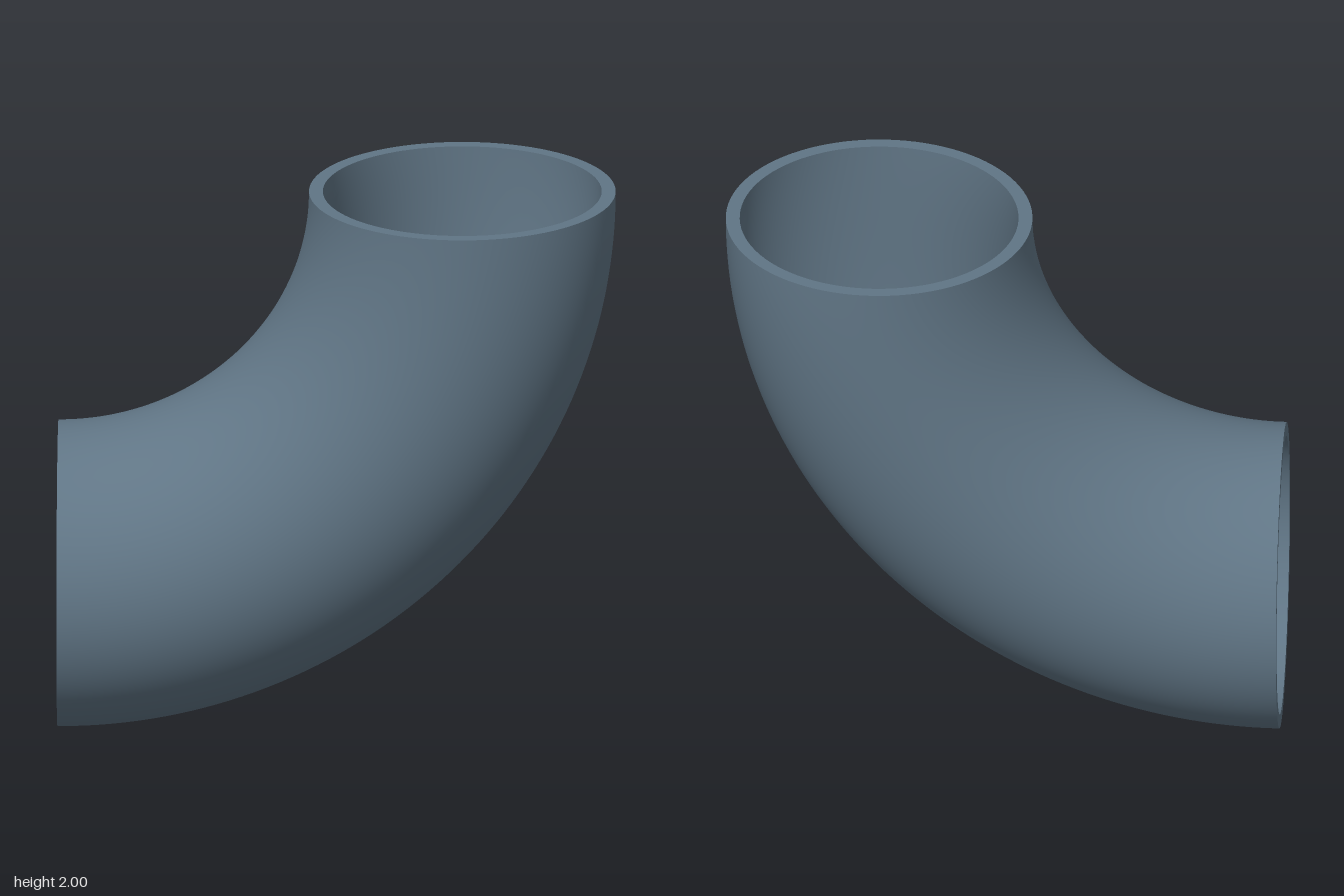
import * as THREE from 'three';

const BEND = 1.45;   // radius of the pipe's centre line
const OUTER = 0.55;  // outside radius of the pipe
const INNER = 0.5;   // bore radius
const SIDES = 96;
const STEPS = 64;

// Quarter torus about (-1, 2), from the lower left opening to the top opening
function quarterBend(radius) {
  return new THREE.TorusGeometry(BEND, radius, SIDES, STEPS, Math.PI / 2)
    .rotateZ(-Math.PI / 2)
    .translate(-1, 2, 0);
}

// Turn a surface inside out so that it shows from within
function turnInward(geometry) {
  geometry.index.array.reverse();
  const normal = geometry.attributes.normal;
  for (let i = 0; i < normal.array.length; i++) normal.array[i] *= -1;
  return geometry;
}

export function createModel() {
  const group = new THREE.Group();
  group.name = 'pipeElbow';
  const material = new THREE.MeshStandardMaterial({ color: 0x607585 });

  const add = (name, geometry) => {
    const mesh = new THREE.Mesh(geometry, material);
    mesh.name = name;
    group.add(mesh);
  };

  // Pipe wall
  add('outerWall', quarterBend(OUTER));
  add('innerWall', turnInward(quarterBend(INNER)));

  // Flat rims closing the wall at both openings
  const rim = () => new THREE.RingGeometry(INNER, OUTER, SIDES, 1);
  add('topRim', rim().rotateX(-Math.PI / 2).translate(BEND - 1, 2, 0));
  add('sideRim', rim().rotateY(-Math.PI / 2).translate(-1, 2 - BEND, 0));

  return group;
}
